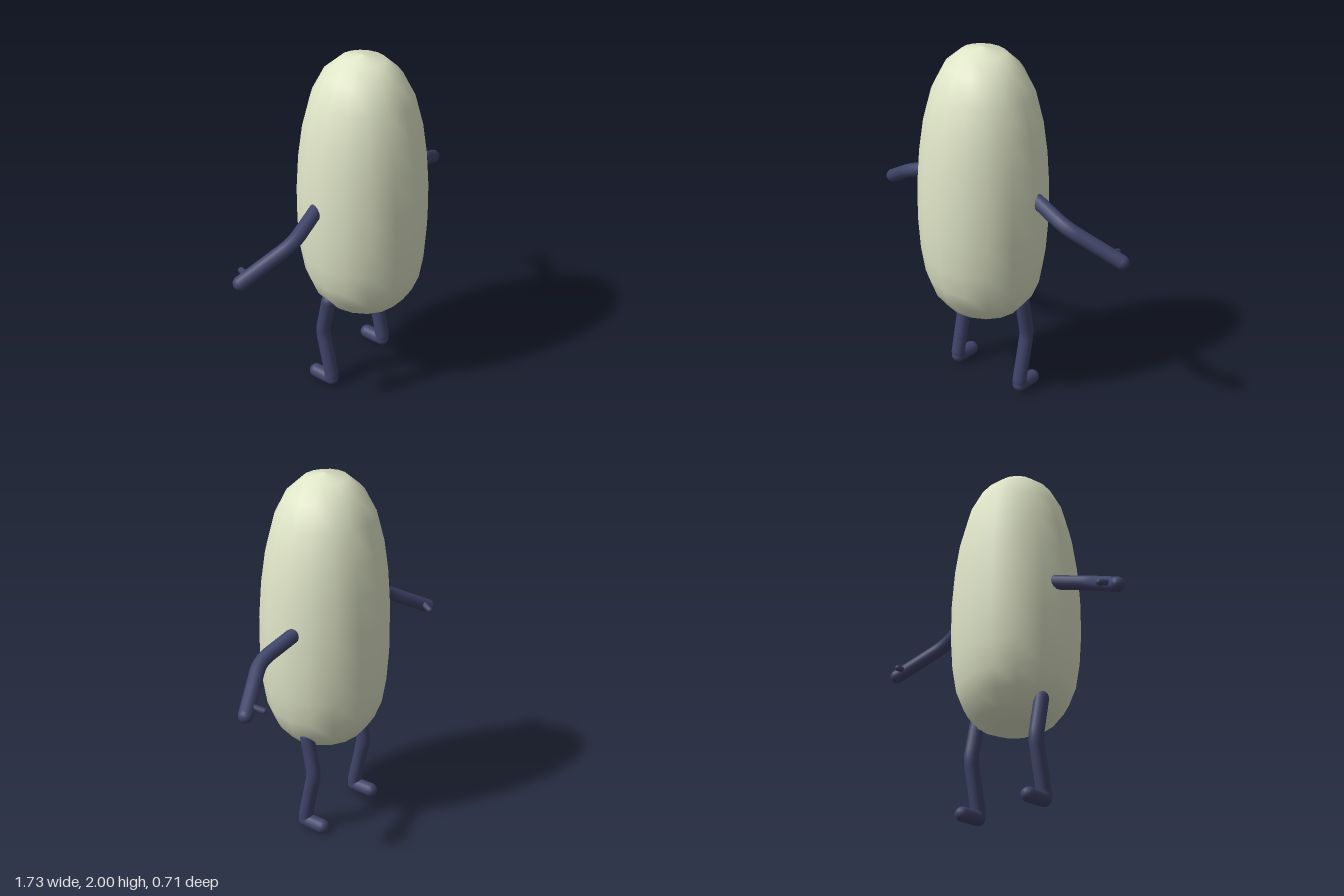
import * as THREE from 'three';

const skin = new THREE.MeshStandardMaterial({ color: 0xe0e6c8 });
const dark = new THREE.MeshStandardMaterial({ color: 0x3f4468 });

// Path through the points with softened corners
function softPath(pts, soft) {
  const path = new THREE.CurvePath();
  let from = pts[0];
  for (let i = 1; i < pts.length - 1; i++) {
    const toward = (p) => pts[i].clone().add(p.clone().sub(pts[i]).setLength(soft));
    const a = toward(pts[i - 1]), b = toward(pts[i + 1]);
    path.add(new THREE.LineCurve3(from, a));
    path.add(new THREE.QuadraticBezierCurve3(a, pts[i], b));
    from = b;
  }
  path.add(new THREE.LineCurve3(from, pts[pts.length - 1]));
  return path;
}

// Round-ended limb; side mirrors it across x
function limb(name, points, radius, soft, side) {
  const group = new THREE.Group();
  group.name = name;
  const pts = points.map(([x, y, z]) => new THREE.Vector3(x * side, y, z));
  const tube = new THREE.TubeGeometry(softPath(pts, soft), 40, radius, 14);
  group.add(new THREE.Mesh(tube, dark));
  for (const end of [pts[0], pts[pts.length - 1]]) {
    const cap = new THREE.Mesh(new THREE.SphereGeometry(radius, 14, 10), dark);
    cap.position.copy(end);
    group.add(cap);
  }
  return group;
}

export function createModel() {
  const model = new THREE.Group();
  model.name = 'beanFigure';

  // Bean body: sixteen-sided lathe, slightly lower on its left
  const profile = [
    [0, 0.475], [0.12, 0.485], [0.215, 0.53], [0.28, 0.61], [0.32, 0.71], [0.343, 0.85],
    [0.355, 1.03], [0.354, 1.23], [0.34, 1.43], [0.316, 1.6], [0.272, 1.77],
    [0.205, 1.9], [0.12, 1.975], [0, 2],
  ].map(([r, y]) => new THREE.Vector2(r, y));
  const bean = new THREE.LatheGeometry(profile, 16);
  const pos = bean.attributes.position;
  for (let i = 0; i < pos.count; i++) pos.setY(i, pos.getY(i) - 0.06 * pos.getX(i));
  const body = new THREE.Mesh(bean, skin);
  body.name = 'body';
  model.add(body);

  for (const side of [1, -1]) {
    const label = side > 0 ? 'left' : 'right';
    // Arm, bent at the elbow, with a small thumb
    model.add(limb(label + 'Arm',
      [[0.33, 1.228, -0.045], [0.56, 1.155, -0.005], [0.828, 1.002, -0.132]], 0.039, 0.07, side));
    model.add(limb(label + 'Thumb',
      [[0.785, 1.035, -0.12], [0.758, 1.017, -0.19]], 0.017, 0, side));
    // Leg, bent at the knee and running into the foot
    model.add(limb(label + 'Leg',
      [[0.235, 0.585, -0.055], [0.235, 0.36, -0.1], [0.235, 0.045, -0.035], [0.235, 0.045, -0.155]],
      0.04, 0.04, side));
    // Heel
    const heel = new THREE.Mesh(new THREE.SphereGeometry(0.04, 14, 10), dark);
    heel.name = label + 'Heel';
    heel.position.set(0.235 * side, 0.047, -0.043);
    model.add(heel);
  }
  model.children.forEach((part) => { if (part.name !== 'body') part.position.y -= 0.005; });
  return model;
}
